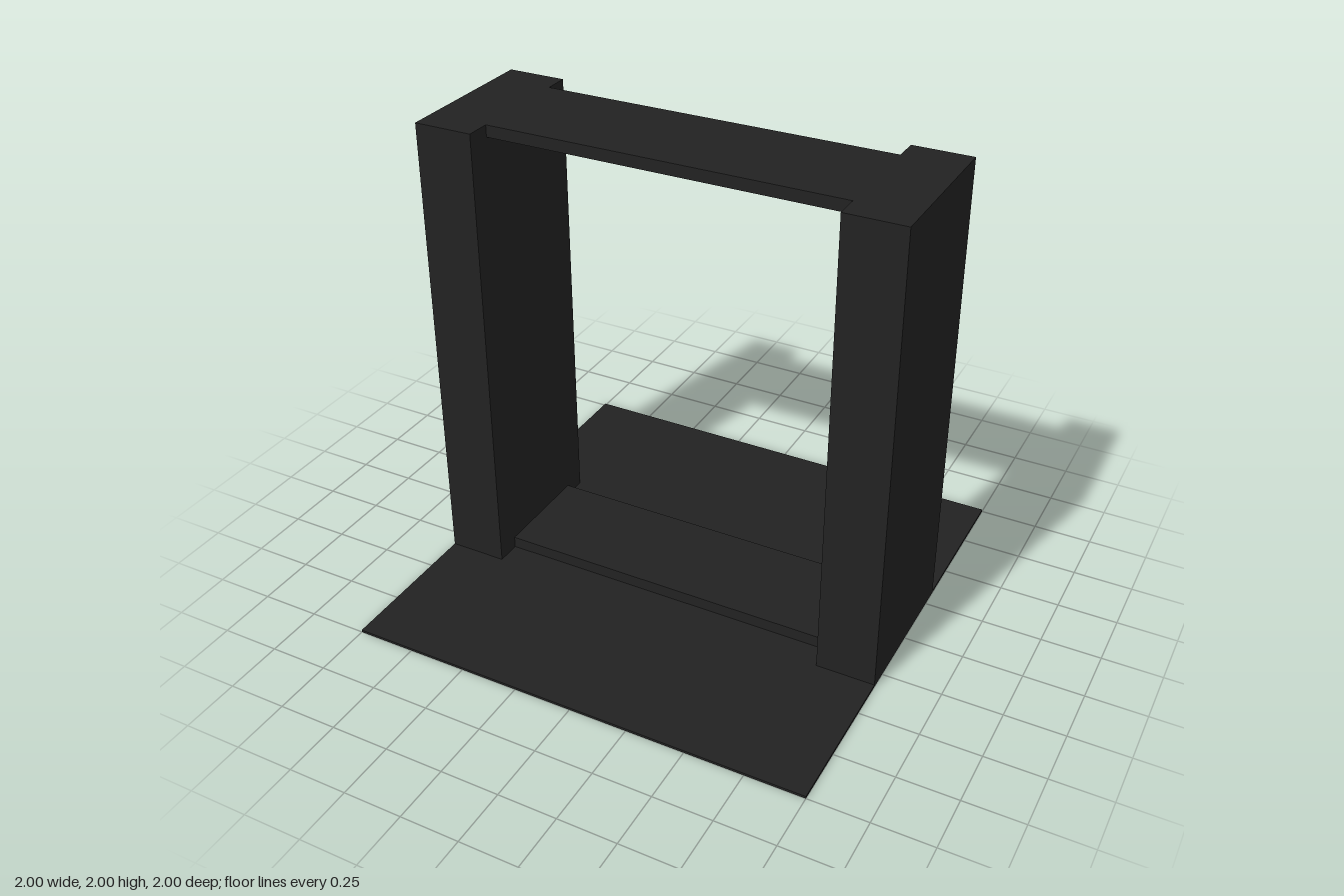
import * as THREE from 'three';

export function createModel() {
  const model = new THREE.Group();
  model.name = 'gateFrame';

  const charcoal = new THREE.MeshStandardMaterial({ color: 0x222222 });
  charcoal.name = 'charcoal';

  // Box placed by its bottom height
  function addBox(name, width, height, depth, x, bottom) {
    const mesh = new THREE.Mesh(new THREE.BoxGeometry(width, height, depth), charcoal);
    mesh.name = name;
    mesh.position.set(x, bottom + height / 2, 0);
    model.add(mesh);
  }

  const baseHeight = 0.01;

  // Thin square floor plate
  addBox('basePlate', 2, baseHeight, 2, 0, 0);

  // Two deep pillars, flush with the plate's sides
  for (const side of [-1, 1]) {
    addBox(side > 0 ? 'leftPillar' : 'rightPillar', 0.25, 2 - baseHeight, 0.666, side * 0.875, baseHeight);
  }

  // Narrower sill and lintel spanning the opening
  addBox('sill', 1.5, 0.05, 0.454, 0, baseHeight);
  addBox('lintel', 1.5, 0.05, 0.454, 0, 1.95);

  return model;
}
